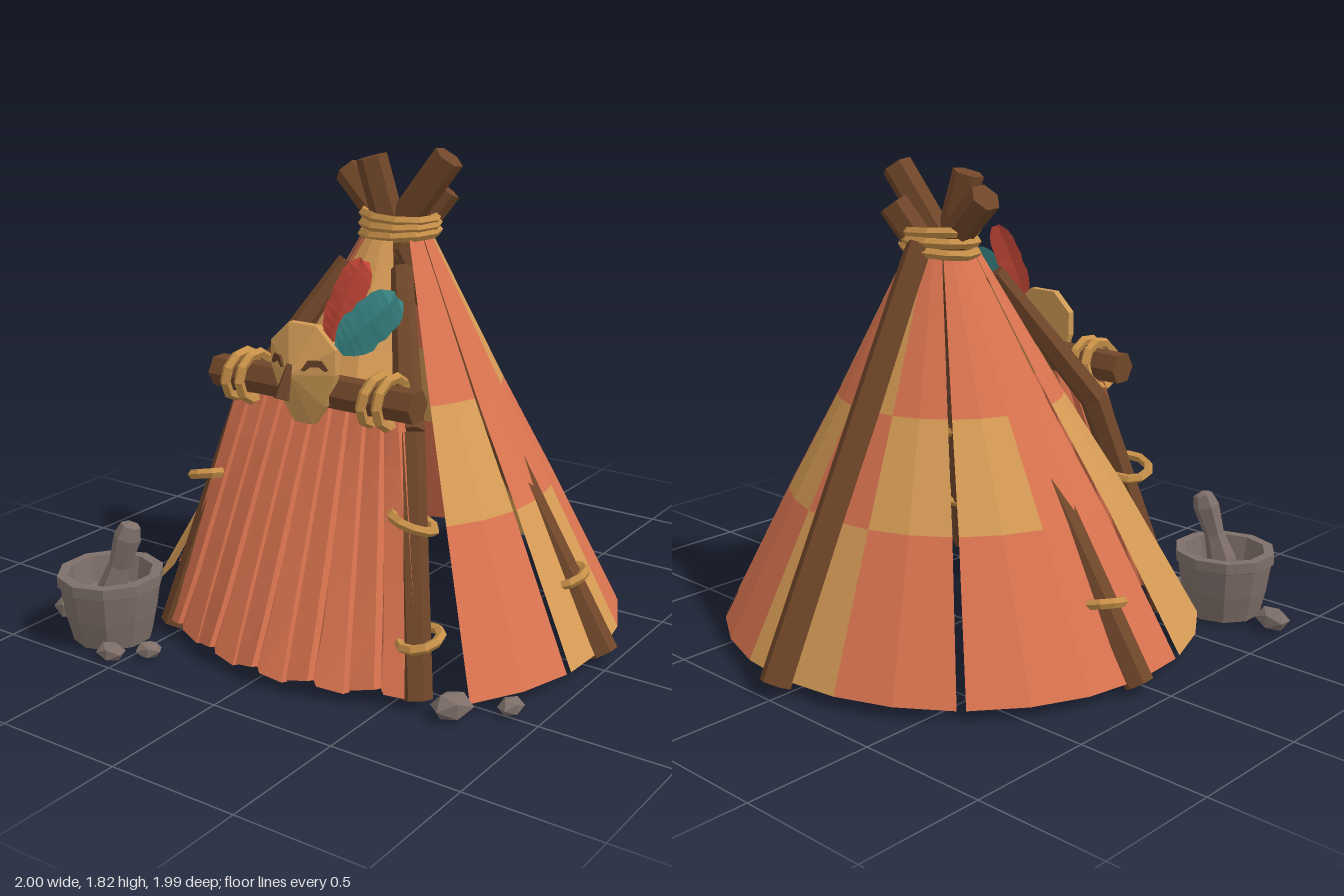
import * as THREE from 'three';

const mat = (name, color, extra = {}) => Object.assign(
  new THREE.MeshStandardMaterial({ color, flatShading: true, ...extra }), { name });
const both = { side: THREE.DoubleSide };
const V = (x, y, z) => new THREE.Vector3(x, y, z);

export function createModel() {
  const red = mat('red hide', 0xd9734f, both);
  const ochre = mat('ochre hide', 0xd69b55, both);
  const wood = mat('brown wood', 0x704629);
  const rope = mat('tan rope', 0xc68f48);
  const stone = mat('grey stone', 0x7e6f69, both);
  const featherRed = mat('red feather', 0xcf4b3a, both);
  const featherTeal = mat('teal feather', 0x3c8f8d, both);
  const maskMat = mat('carved mask', 0xd09a55, both);
  const dark = mat('dark carving', 0x643f26, both);

  const model = new THREE.Group();
  const add = (name, geo, material, parent = model) => {
    const m = new THREE.Mesh(geo, material);
    m.name = name;
    parent.add(m);
    return m;
  };

  // surface from a grid of points: fn(u, v) with u across and v along
  const grid = (nu, nv, fn) => {
    const pos = [], idx = [];
    for (let j = 0; j <= nv; j++) for (let i = 0; i <= nu; i++) pos.push(...fn(i / nu, j / nv));
    for (let j = 0; j < nv; j++) for (let i = 0; i < nu; i++) {
      const a = j * (nu + 1) + i, b = a + nu + 1;
      idx.push(a, a + 1, b, a + 1, b + 1, b);
    }
    const g = new THREE.BufferGeometry();
    g.setAttribute('position', new THREE.Float32BufferAttribute(pos, 3));
    g.setIndex(idx);
    g.computeVertexNormals();
    return g;
  };

  // six sided log between two points
  const log = (name, a, b, r = 0.055, r2 = r) => {
    const m = add(name, new THREE.CylinderGeometry(r2, r, a.distanceTo(b), 6), wood);
    m.position.copy(a).lerp(b, 0.5);
    m.quaternion.setFromUnitVectors(V(0, 1, 0), b.clone().sub(a).normalize());
  };
  const ring = (name, c, axis, R, tube = 0.019) => {
    const m = add(name, new THREE.TorusGeometry(R, tube, 5, 10), rope);
    m.position.copy(c);
    m.quaternion.setFromUnitVectors(V(0, 0, 1), axis.clone().normalize());
    return m;
  };

  // tent cover: profile as [height, radius, centre z]
  const profile = [[0.05, 0.93, 0.01], [0.58, 0.645, -0.02], [0.95, 0.43, -0.05], [1.49, 0.135, -0.09]];
  const coverPoint = (deg, y) => {
    let k = 0;
    while (k < 2 && y > profile[k + 1][0]) k++;
    const [a, b] = [profile[k], profile[k + 1]];
    const t = (y - a[0]) / (b[0] - a[0]);
    const r = a[1] + (b[1] - a[1]) * t, cz = a[2] + (b[2] - a[2]) * t;
    const p = THREE.MathUtils.degToRad(deg);
    return [0.03 + r * Math.sin(p), y, cz - r * Math.cos(p)];
  };
  // columns run from front left round the back: start, end, colours from the hem up
  const columns = [
    [-130, -103, 'OOR'], [-101, -72, 'RRR'], [-72, -44.5, 'ROR'], [-42.5, -15, 'ROR'], [-15, 13, 'ORO'],
    [13, 39.5, 'ROR'], [41.5, 72, 'RRO'], [72, 99.5, 'ORR'], [101, 127, 'ROR']];
  const cover = new THREE.Group();
  cover.name = 'tentCover';
  model.add(cover);
  for (const [a, b, colours] of columns) for (let k = 0; k < 3; k++) {
    const geo = grid(2, 1, (u, v) => coverPoint(a + (b - a) * u, profile[k][0] + (profile[k + 1][0] - profile[k][0]) * v));
    add('coverPanel', geo, colours[k] === 'R' ? red : ochre, cover);
  }
  // panel above the door, narrowing toward the top
  add('frontTopPanel', grid(3, 3, (u, v) => coverPoint(180 + (u * 2 - 1) * (45 - 18 * v), 0.95 + 0.54 * v)), ochre, cover);

  // draped door hide: broad strips parted by narrow pleats, with a wavy hem
  add('doorHide', grid(30, 5, (u, v) => {
    const i = Math.round(u * 30), part = i % 3, strip = Math.floor(i / 3);
    const s = (strip + [0, 0.78, 0.89][part]) / 10;
    const pleat = part === 2 ? -0.035 * (1 - 0.5 * v) : 0;
    const wave = 0.012 * v * Math.sin(i * 1.05);
    const left = -0.33 - 0.2 * v, right = 0.39 + 0.22 * v;
    return [left + (right - left) * s,
      0.98 - 0.925 * v + (v === 1 ? 0.022 * Math.sin(i * 1.05) : 0),
      0.42 + 0.215 * v + 0.165 * v * Math.sin(Math.PI * s) + pleat + wave];
  }), red);

  // poles under and over the cover
  const apex = V(0.03, 1.5, -0.1);
  for (const s of [-1, 1]) {
    const foot = V(0.03 + s * 0.555, 0.03, 0.61), knee = V(0.03 + s * 0.36, 0.9, 0.37);
    log('frontPole', foot, knee);
    log('frontPoleUpper', knee, V(0.03 + s * 0.12, 1.4, 0.06), 0.055, 0.04);
    const side = V(0.03 + s * 0.935, 0.04, -0.06);
    log('sidePole', side, apex);
    // lashings around the poles
    ring('poleLashing', V(0.03 + s * 0.45, 0.62, 0.48), V(s * 0.25, 1, -0.25), 0.08);
    ring('poleLashing', side.clone().lerp(apex, 0.18), V(-s * 0.3, 1, 0.2), 0.075);
  }
  ring('poleLashing', V(0.57, 0.24, 0.57), V(-0.15, 1, 0.2), 0.075);
  const rear = V(0.6, 0.04, -0.6);
  log('rearPole', rear, V(0.03, 1.46, -0.09), 0.05);
  ring('poleLashing', rear.clone().lerp(apex, 0.21), V(-0.4, 1, 0.4), 0.075);
  log('backPole', V(0.03, 0.04, -0.95), V(0.03, 1.52, -0.2), 0.06);

  // crossed pole tips and the binding below them
  const tips = [[-0.22, 1.71, -0.13, 0.07, -0.1], [-0.06, 1.78, -0.05, 0.03, -0.08],
    [0.23, 1.79, -0.13, -0.02, -0.08], [0.17, 1.66, -0.21, 0.03, -0.13]];
  for (const [x, y, z, bx, bz] of tips) log('poleTip', V(bx, 1.44, bz), V(x, y, z), 0.06);
  [1.5, 1.533, 1.566].forEach((y, i) => {
    const m = ring('topBinding', V(0.03, y, -0.11), V((i - 1) * 0.06, 1, 0.04), 0.147 - i * 0.003, 0.02);
    m.scale.set(1.03, 0.85, 1);
  });

  // cross bar with rope lashings
  log('crossBar', V(-0.41, 1.02, 0.44), V(0.47, 1.02, 0.44), 0.062);
  for (const x of [-0.27, 0.33]) for (const k of [-1, 1])
    ring('barLashing', V(x + k * 0.032, 1.02, 0.44), V(1, k * 0.06 - 0.12, 0.05), 0.088, 0.02);

  // ridged mask, rings shrinking toward the middle
  const face = new THREE.Group();
  face.name = 'mask';
  face.position.set(0.03, 1.1, 0);
  model.add(face);
  const outline = [[-0.06, 0.165], [0.06, 0.165], [0.14, 0.09], [0.14, 0], [0.095, -0.12], [0.04, -0.195],
    [-0.04, -0.195], [-0.095, -0.12], [-0.14, 0], [-0.14, 0.09], [-0.06, 0.165]];
  const dome = [[1, 0.475], [1, 0.505], [0, 0.585]];
  add('maskFace', grid(10, 2, (u, v) => {
    const [x, y] = outline[Math.round(u * 10)], [s, z] = dome[Math.round(v * 2)];
    return [x * s, y * s, z];
  }), maskMat, face);
  const back = new THREE.Shape(outline.map(([x, y]) => new THREE.Vector2(x, y)));
  add('maskBack', new THREE.ShapeGeometry(back), maskMat, face).position.z = 0.475;
  const nose = add('nose', new THREE.CylinderGeometry(0.012, 0.034, 0.125, 4), dark, face);
  nose.position.set(0, -0.02, 0.605);
  nose.rotation.x = -0.4;
  // closed eyes
  const eye = new THREE.Shape([[-0.048, -0.016], [-0.024, 0.018], [0.024, 0.018], [0.048, -0.016],
    [0.036, -0.02], [0.014, -0.004], [-0.014, -0.004], [-0.036, -0.02]].map(p => new THREE.Vector2(...p)));
  for (const s of [-1, 1]) {
    const m = add('eye', new THREE.ExtrudeGeometry(eye, { depth: 0.009, bevelEnabled: false }), dark, face);
    m.position.set(s * 0.078, 0.035, 0.5395);
    m.rotation.y = s * 0.52;
  }

  // feathers: folded leaf with a notched edge
  const feather = (name, material, base, angle, length, width, yaw) => {
    const n = 9, w = [0.3, 0.65, 0.88, 1, 0.9, 1, 0.92, 0.92, 0.75, 0.3];
    const m = add(name, grid(2, n, (u, v) => {
      const s = u * 2 - 1;
      return [s * w[Math.round(v * n)] * width / 2, v * length,
        (s ? -0.012 : 0.004) * Math.min(1, v * 3) - 0.03 * v * v];
    }), material);
    m.position.copy(base);
    m.rotation.set(0, yaw, -angle, 'YXZ');
  };
  feather('redFeather', featherRed, V(0.13, 1.22, 0.485), 0.4, 0.31, 0.13, 0.1);
  feather('tealFeather', featherTeal, V(0.18, 1.19, 0.495), 0.8, 0.29, 0.16, 0.15);

  // stone mortar and pestle
  const bowl = [[0, 0.01], [0.15, 0.01], [0.175, 0.12], [0.19, 0.225], [0.2, 0.23], [0.2, 0.272],
    [0.16, 0.272], [0.14, 0.17], [0.07, 0.11], [0, 0.1]].map(p => new THREE.Vector2(...p));
  add('mortar', new THREE.LatheGeometry(bowl, 10), stone).position.set(-0.68, 0, 0.785);
  const club = [[0, 0], [0.05, 0.02], [0.058, 0.09], [0.04, 0.2], [0.052, 0.32], [0.038, 0.37], [0, 0.385]];
  const pestle = add('pestle', new THREE.LatheGeometry(club.map(p => new THREE.Vector2(...p)), 6), stone);
  pestle.position.set(-0.67, 0.12, 0.83);
  pestle.rotation.set(-0.15, 0, -0.27);

  // loose stones
  const pebbles = [[-0.93, 0.76, 0.07], [-0.54, 0.945, 0.055], [-0.44, 0.85, 0.05], [0.73, 0.615, 0.076], [0.88, 0.475, 0.05]];
  pebbles.forEach(([x, z, r], i) => {
    const m = add('pebble', new THREE.IcosahedronGeometry(r, 0), stone);
    m.position.set(x, r * 0.68, z);
    m.scale.set(1.05, 0.7, 0.8);
    m.rotation.y = i * 0.3;
  });
  return model;
}
